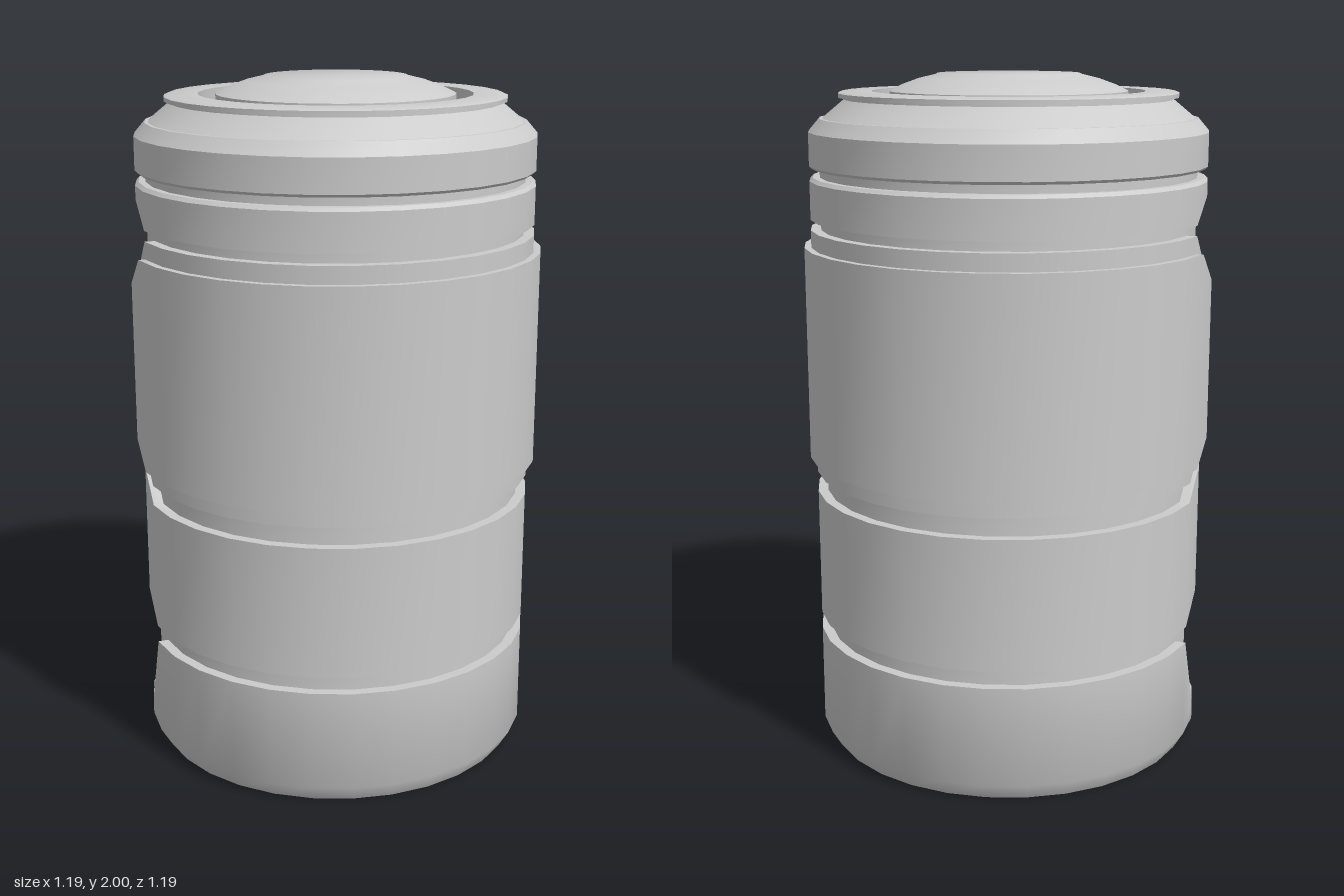
import * as THREE from 'three';
import { toCreasedNormals } from 'three/addons/utils/BufferGeometryUtils.js';

const SIDES = 30;
const STEP = (Math.PI * 2) / SIDES;
const BODY = 0.58, FLOOR = 0.55, BAND = 0.6;

// Joins upright cross-sections [radius, height], one per angular step, into a surface.
function loft(profileAt, from = 0, to = SIDES, capEnds = false) {
  const pos = [], index = [];
  const n = profileAt(from).length;
  for (let i = from; i <= to; i++) {
    const a = (i % SIDES) * STEP;
    for (const [r, y] of profileAt(i % SIDES)) pos.push(r * Math.cos(a), y, -r * Math.sin(a));
  }
  const sample = profileAt(from);
  for (let i = 0; i < to - from; i++) {
    for (let j = 0; j < n - 1; j++) {
      const a = i * n + j, b = a + n;
      if (sample[j][0] > 0) index.push(a, b, b + 1);
      if (sample[j + 1][0] > 0) index.push(a, b + 1, a + 1);
    }
  }
  if (capEnds) {
    const e = (to - from) * n;
    index.push(0, 1, 2, 0, 2, 3, e, e + 2, e + 1, e, e + 3, e + 2);
  }
  const g = new THREE.BufferGeometry();
  g.setAttribute('position', new THREE.Float32BufferAttribute(pos, 3));
  g.setIndex(index);
  return toCreasedNormals(g, 0.65);
}

// Picks the notched height on the three columns around the -x side.
const pick = (i, plain, notched) => (Math.abs(i - SIDES / 2) <= 1 ? notched : plain);

// A groove cut between two heights
const groove = (bottom, top) => [[BODY, bottom], [FLOOR, bottom], [FLOOR, top], [BODY, top]];

// Body wall: grooves widen or bend into recessed panels on the -x side
const bodyProfile = (i) => [
  [0, 0], [0.55, 0], [BODY, 0.05],
  ...groove(pick(i, 0.345, 0.1), pick(i, 0.395, 0.47)),
  ...groove(pick(i, 0.78, 0.86), pick(i, 0.84, 0.92)),
  ...groove(pick(i, 1.56, 1.45), pick(i, 1.59, 1.66)),
  [BODY, 1.7], [0.57, 1.71], [FLOOR, 1.71], [FLOOR, 1.735],
];

// Raised grip band with chamfered ends
const bandProfile = (i) => {
  const low = pick(i, 0.885, 0.95), high = pick(i, 1.51, 1.42);
  return [[0.57, low], [BAND, low], [BAND, high], [0.57, high]];
};

// Lid with stepped shoulder, rim and sunken ring
const lidProfile = () => [
  [FLOOR, 1.735], [0.572, 1.735], [BODY, 1.743], [BODY, 1.838], [0.548, 1.875],
  [0.538, 1.875], [0.475, 1.927], [0.475, 1.933], [0.492, 1.933], [0.492, 1.945], [0.48, 1.95],
  [0.395, 1.95], [0.395, 1.91], [0.345, 1.91],
];

// Domed centre with a flat button
const domeProfile = () => [
  [0.345, 1.91], [0.345, 1.95], [0.31, 1.967], [0.26, 1.985], [0.21, 1.997],
  [0.205, 2], [0, 2],
];

export function createModel() {
  const group = new THREE.Group();
  group.name = 'canister';
  const material = new THREE.MeshStandardMaterial({ color: 0xcccccc });
  const add = (name, geometry) => {
    const mesh = new THREE.Mesh(geometry, material);
    mesh.name = name;
    mesh.position.x = -0.0065;
    group.add(mesh);
  };

  add('body', loft(bodyProfile));
  add('gripBand', loft(bandProfile, SIDES / 2 + 1, SIDES * 1.5 - 1, true));
  add('lid', loft(lidProfile));
  add('lidDome', loft(domeProfile));
  return group;
}
